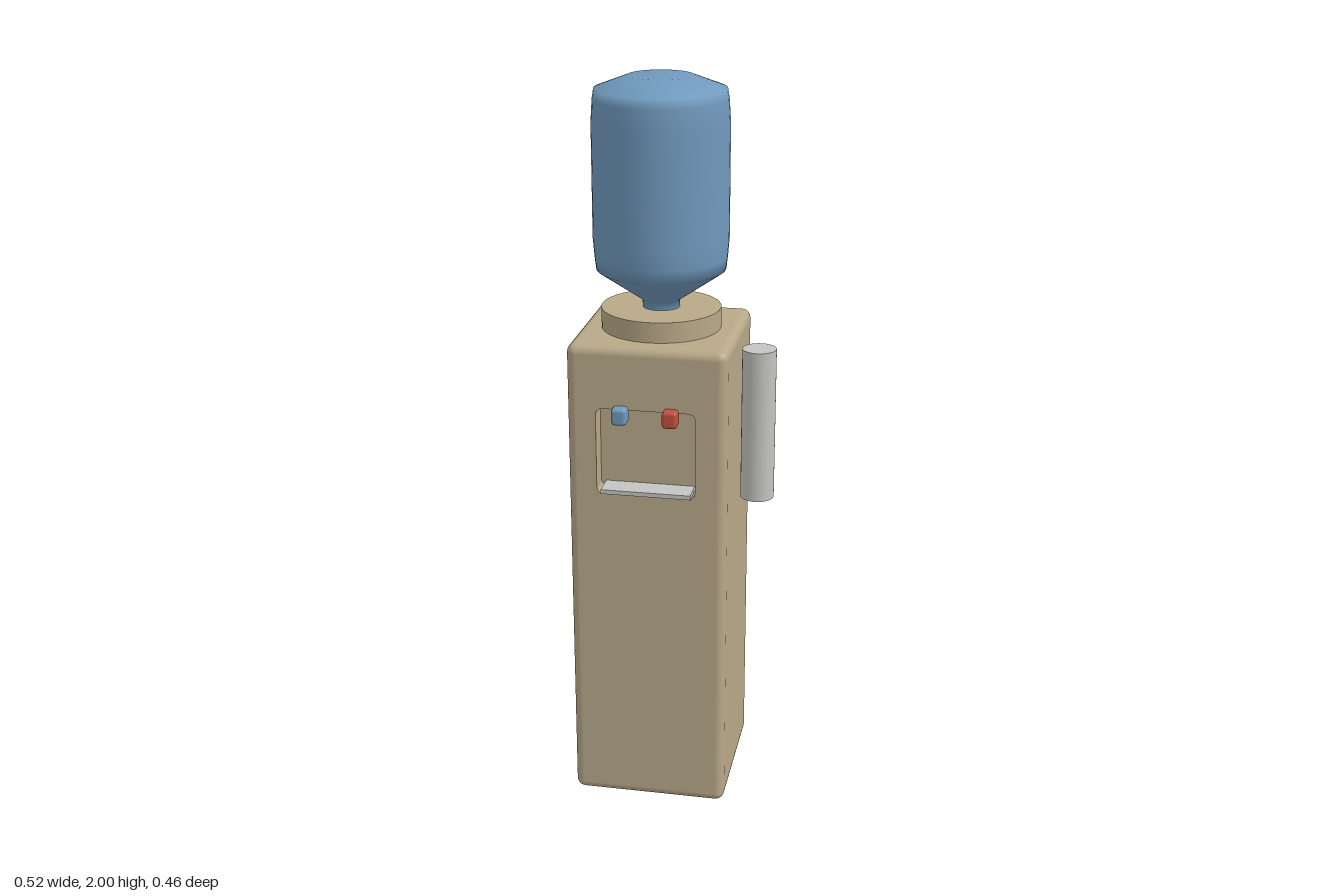
import * as THREE from 'three';
import { RoundedBoxGeometry } from 'three/addons/geometries/RoundedBoxGeometry.js';

const CX = -0.05, CZ = -0.016;            // axis of the cabinet and bottle
const W = 0.426, H = 1.335, D = 0.426, R = 0.025;

const mat = (name, color) => {
  const m = new THREE.MeshStandardMaterial({ color });
  m.name = name;
  return m;
};

// Rounded rim of a box: rings along z, open at the flat front and back
function roundedShell(w, h, d, r, seg = 5) {
  const pos = [], nor = [], idx = [];
  const corners = [[1, 1], [-1, 1], [-1, -1], [1, -1]];
  const n = 4 * (seg + 1);
  for (const end of [-1, 1]) {
    for (let j = 0; j <= seg; j++) {
      const b = (Math.PI / 2) * (end < 0 ? j / seg - 1 : j / seg);
      corners.forEach(([sx, sy], c) => {
        for (let i = 0; i <= seg; i++) {
          const a = (c + i / seg) * Math.PI / 2;
          const v = [Math.cos(b) * Math.cos(a), Math.cos(b) * Math.sin(a), Math.sin(b)];
          nor.push(...v);
          pos.push(sx * (w / 2 - r) + r * v[0], sy * (h / 2 - r) + r * v[1], end * (d / 2 - r) + r * v[2]);
        }
      });
    }
  }
  for (let j = 0; j < 2 * (seg + 1) - 1; j++) {
    for (let i = 0; i < n; i++) {
      const a = j * n + i, b = j * n + (i + 1) % n;
      idx.push(a, b, b + n, a, b + n, a + n);
    }
  }
  const g = new THREE.BufferGeometry();
  g.setAttribute('position', new THREE.Float32BufferAttribute(pos, 3));
  g.setAttribute('normal', new THREE.Float32BufferAttribute(nor, 3));
  g.setIndex(idx);
  return g;
}

// Outline of the niche: a rectangle with rounded corners
function nicheOutline(path, x0, x1, y0, y1, r) {
  path.moveTo(x0 + r, y0);
  path.lineTo(x1 - r, y0);
  path.quadraticCurveTo(x1, y0, x1, y0 + r);
  path.lineTo(x1, y1 - r);
  path.quadraticCurveTo(x1, y1, x1 - r, y1);
  path.lineTo(x0 + r, y1);
  path.quadraticCurveTo(x0, y1, x0, y1 - r);
  path.lineTo(x0, y0 + r);
  path.quadraticCurveTo(x0, y0, x0 + r, y0);
  return path;
}

export function createModel() {
  const model = new THREE.Group();
  model.name = 'waterCooler';
  const beige = mat('beige plastic', 0xb8a888);
  const blue = mat('blue', 0x7099bd);
  const red = mat('red', 0xc0503f);
  const grey = mat('light grey', 0xc4c4c2);
  const beigeInside = beige.clone();
  beigeInside.side = THREE.DoubleSide;

  const add = (name, geo, material, x, y, z, parent = model) => {
    const m = new THREE.Mesh(geo, material);
    m.name = name;
    m.position.set(x, y, z);
    parent.add(m);
    return m;
  };

  // Cabinet: rounded shell, back panel, front panel with an opening
  const cabinet = new THREE.Group();
  cabinet.name = 'cabinet';
  model.add(cabinet);
  add('cabinetShell', roundedShell(W, H, D, R), beige, CX, H / 2, CZ, cabinet);
  const back = add('backPanel', new THREE.PlaneGeometry(W - 2 * R, H - 2 * R), beige, CX, H / 2, CZ - D / 2, cabinet);
  back.rotation.y = Math.PI;

  const niche = [-0.185, 0.08, 0.925, 1.165, 0.02], frontZ = CZ + D / 2, depth = 0.055;
  const hw = W / 2 - R;
  const front = new THREE.Shape([
    new THREE.Vector2(CX - hw, R), new THREE.Vector2(CX + hw, R),
    new THREE.Vector2(CX + hw, H - R), new THREE.Vector2(CX - hw, H - R),
  ]);
  front.holes.push(nicheOutline(new THREE.Path(), ...niche));
  add('frontPanel', new THREE.ShapeGeometry(front, 5), beige, 0, 0, frontZ, cabinet);

  // Niche: back wall and side walls
  const outline = nicheOutline(new THREE.Shape(), ...niche);
  add('nicheBack', new THREE.ShapeGeometry(outline, 5), beige, 0, 0, frontZ - depth, cabinet);
  const walls = new THREE.ExtrudeGeometry(outline, { depth, bevelEnabled: false, curveSegments: 5 });
  // keep only the side walls: the caps use an invisible slot
  const side = walls.groups[1];
  walls.clearGroups();
  walls.setDrawRange(side.start, side.count);
  const wallGeo = new THREE.BufferGeometry();
  for (const key of ['position', 'normal']) {
    const a = walls.getAttribute(key);
    wallGeo.setAttribute(key, new THREE.BufferAttribute(a.array.slice(side.start * 3, (side.start + side.count) * 3), 3));
  }
  add('nicheWalls', wallGeo, beigeInside, 0, 0, frontZ - depth, cabinet);

  // Drip tray
  add('dripTray', new THREE.BoxGeometry(0.242, 0.012, 0.068), grey, -0.051, 0.935, 0.176);

  // Taps
  const tap = new RoundedBoxGeometry(0.04, 0.046, 0.045, 3, 0.009);
  add('coldTap', tap, blue, -0.118, 1.153, 0.2045);
  add('hotTap', tap, red, 0.016, 1.153, 0.2045);

  // Collar that holds the bottle
  add('collar', new THREE.CylinderGeometry(0.16, 0.16, 0.06, 48), beige, CX, 1.36, CZ);

  // Upturned bottle
  const profile = [
    [0.05, 1.385], [0.05, 1.41], [0.172, 1.495], [0.176, 1.53], [0.18, 1.58],
    [0.18, 1.88], [0.176, 1.94], [0.172, 1.965], [0.085, 1.998], [0, 2],
  ].map(([r, y]) => new THREE.Vector2(r, y));
  add('bottle', new THREE.LatheGeometry(profile, 48), blue, CX, 0, CZ);

  // Cup holder beside the cabinet
  add('cupHolder', new THREE.CylinderGeometry(0.046, 0.046, 0.425, 32), grey, 0.216, 1.0725, CZ);

  return model;
}
